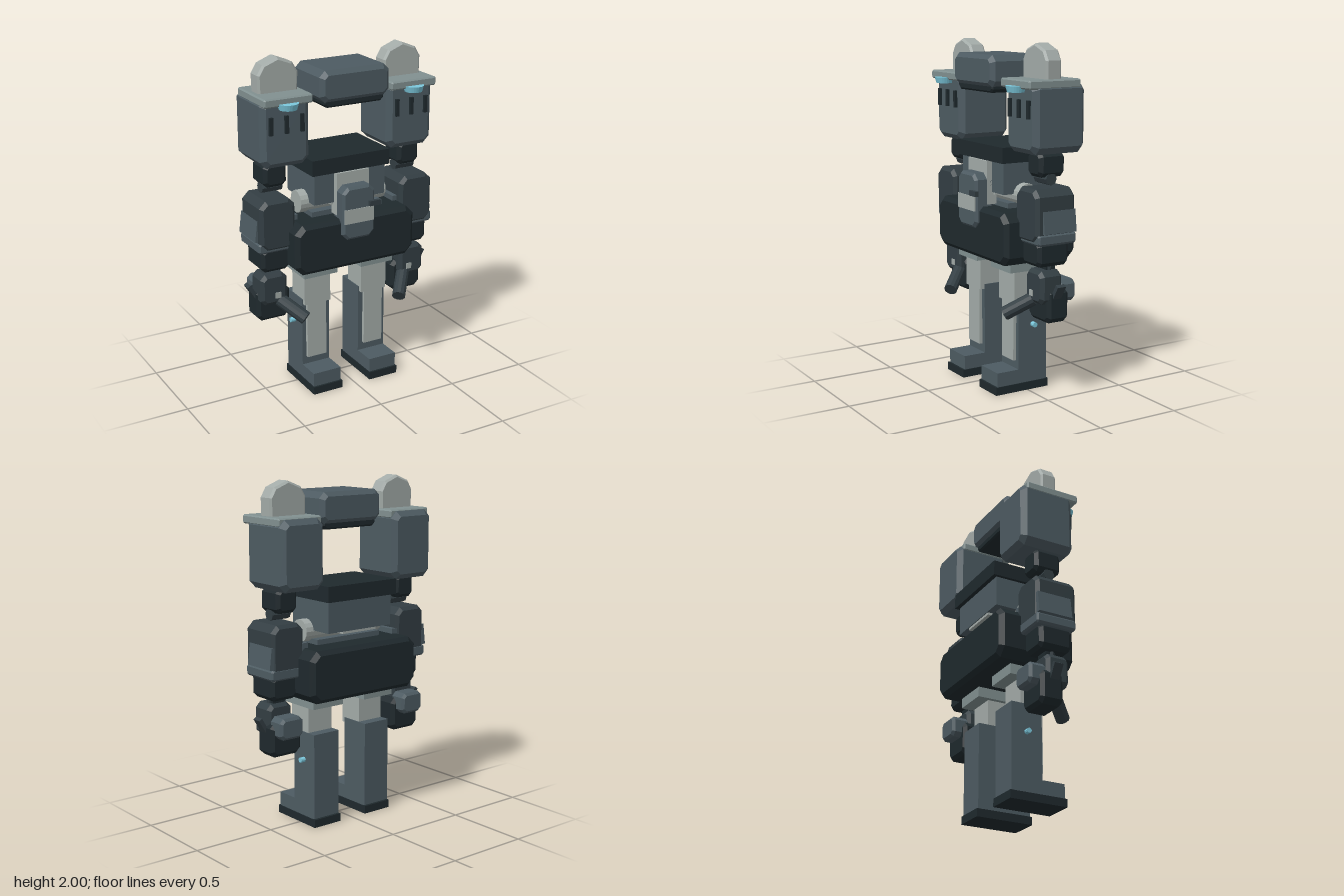
import * as THREE from 'three';

const paint = (color) => new THREE.MeshStandardMaterial({ color, flatShading: true });

export function createModel() {
  const model = new THREE.Group();
  const dark = paint(0x1f292d), mid = paint(0x333e43), grey = paint(0x4d5b62);
  const cap = paint(0x819090), light = paint(0xa3aba8), cyan = paint(0x7cc8dc);

  const add = (name, geometry, material) => {
    const mesh = new THREE.Mesh(geometry, material);
    mesh.name = name;
    model.add(mesh);
    return mesh;
  };

  // Plain box from its limits on each axis
  const box = (name, mat, [x0, x1], [y0, y1], [z0, z1]) => {
    const m = add(name, new THREE.BoxGeometry(Math.abs(x1 - x0), y1 - y0, z1 - z0), mat);
    m.position.set((x0 + x1) / 2, (y0 + y1) / 2, (z0 + z1) / 2);
    return m;
  };

  // Outline in xy extruded along z, with bevelled front and back
  const slab = (name, mat, points, z0, z1, b) => {
    const g = new THREE.ExtrudeGeometry(new THREE.Shape(points), {
      depth: z1 - z0 - 2 * b, bevelThickness: b, bevelSize: b, bevelOffset: -b, bevelSegments: 1,
    });
    const m = add(name, g, mat);
    m.position.z = z0 + b;
    return m;
  };

  // Box with cut corners (c) and bevelled ends (b)
  const cutBox = (name, mat, [x0, x1], [y0, y1], [z0, z1], c = 0.035, b = 0.02) => {
    const w = Math.abs(x1 - x0) / 2, h = (y1 - y0) / 2;
    const pts = [[w - c, -h], [w, c - h], [w, h - c], [w - c, h], [c - w, h], [-w, h - c], [-w, c - h], [c - w, -h]]
      .map(([x, y]) => new THREE.Vector2(x, y));
    const m = slab(name, mat, pts, z0, z1, b);
    m.position.x = (x0 + x1) / 2;
    m.position.y = (y0 + y1) / 2;
    return m;
  };

  // Cylinder between two points
  const rod = (name, mat, a, b, r, sides = 12, rEnd = r) => {
    const p = new THREE.Vector3(...a), q = new THREE.Vector3(...b), d = q.clone().sub(p);
    const m = add(name, new THREE.CylinderGeometry(rEnd, r, d.length(), sides), mat);
    m.position.copy(p).add(q).multiplyScalar(0.5);
    m.quaternion.setFromUnitVectors(new THREE.Vector3(0, 1, 0), d.normalize());
    return m;
  };

  // Head
  cutBox('head', grey, [-0.22, 0.22], [1.75, 1.93], [-0.13, 0.2], 0.035, 0.025);
  cutBox('headUnderside', dark, [-0.19, 0.19], [1.72, 1.79], [-0.11, 0.18], 0.02, 0.01);

  // Torso
  box('chestTop', dark, [-0.25, 0.25], [1.33, 1.42], [-0.225, 0.15]);
  box('torso', grey, [-0.23, 0.23], [1.15, 1.33], [-0.2, 0.13]);
  box('chestPanel', light, [-0.105, 0.105], [1.08, 1.33], [0.1, 0.165]);
  box('torsoUnderside', light, [-0.12, 0.12], [1.135, 1.155], [-0.195, 0.12]);
  rod('waistAxle', light, [-0.28, 1.145, 0], [0.28, 1.145, 0], 0.066, 16);
  box('waist', grey, [-0.23, 0.23], [1.04, 1.1], [-0.1, 0.1]);

  // Pelvis and belt pack
  cutBox('pelvis', dark, [-0.39, 0.39], [0.77, 1.07], [-0.257, 0.215], 0.05, 0.025);
  cutBox('beltPack', grey, [-0.105, 0.105], [0.945, 1.26], [0.12, 0.238], 0.035, 0.015);
  box('beltPackBand', light, [-0.095, 0.095], [1.045, 1.13], [0.14, 0.242]);
  box('beltPackLatch', mid, [0.06, 0.13], [1.135, 1.165], [0.235, 0.257]);

  for (const s of [-1, 1]) {
    const X = (a, b) => [s * a, s * b];

    // Shoulder pod with cap, dome, lamp and vents
    cutBox('shoulderPod', grey, X(0.25, 0.55), [1.405, 1.8], [-0.205, 0.13], 0.04, 0.03);
    cutBox('podCap', cap, X(0.25, 0.547), [1.76, 1.81], [-0.17, 0.165], 0.008, 0.008);
    const dome = [[-0.12, 1.79], [0.12, 1.79], [0.123, 1.91], [0.09, 1.965], [0, 2], [-0.09, 1.965], [-0.123, 1.91]]
      .map(([x, y]) => new THREE.Vector2(x, y));
    slab('podDome', light, dome, -0.062, 0.038, 0.012).position.x = s * 0.397;
    rod('podLamp', cyan, [s * 0.4, 1.74, 0.155], [s * 0.4, 1.775, 0.155], 0.05, 24, 0.06);
    for (const x of [0.305, 0.4, 0.495])
      box('podVent', dark, X(x - 0.011, x + 0.011), [1.6, 1.7], [0.12, 0.145]);

    // Link between pod and arm
    cutBox('armLink', dark, X(0.365, 0.507), [1.275, 1.415], [-0.1, 0.065], 0.025, 0.02);
    rod('armPin', mid, [s * 0.375, 1.265, -0.01], [s * 0.5, 1.265, -0.01], 0.035, 8);

    // Arm
    cutBox('upperArm', mid, X(0.345, 0.565), [0.92, 1.22], [-0.13, 0.125], 0.04, 0.02);
    const plate = box('armSidePlate', grey, X(0.545, 0.575), [0.975, 1.1], [-0.125, 0.085]);
    plate.rotation.z = s * 0.12;
    box('armInnerPlate', grey, X(0.315, 0.36), [0.975, 1.1], [-0.12, 0.085]);
    cutBox('elbowBand', grey, X(0.345, 0.573), [0.91, 0.975], [-0.132, 0.115], 0.012, 0.01);
    cutBox('forearm', dark, X(0.37, 0.55), [0.785, 0.93], [-0.1, 0.1], 0.025, 0.02);
    for (let i = 0; i < 4; i++) {
      const x = s * (0.4 + i * 0.033);
      rod('wristRod', mid, [x, 0.72, 0], [x, 0.8, 0], 0.012, 8);
    }
    box('wrist', dark, X(0.42, 0.5), [0.7, 0.8], [-0.04, 0.02]);

    // Hand
    cutBox('palm', mid, X(0.38, 0.548), [0.57, 0.76], [-0.06, 0.08], 0.03, 0.02);
    box('palmStud', light, X(0.425, 0.46), [0.61, 0.645], [0.06, 0.085]);
    cutBox('fist', dark, X(0.345, 0.555), [0.46, 0.66], [-0.1, 0.04], 0.03, 0.02);
    cutBox('handBackPlate', grey, X(0.375, 0.535), [0.57, 0.695], [-0.16, -0.05], 0.025, 0.015);
    rod('thumb', mid, [s * 0.42, 0.585, 0.05], [s * 0.315, 0.49, 0.175], 0.04, 12);
    const fin = box('handFin', mid, X(0.557, 0.58), [0.6, 0.69], [-0.045, 0.01]);
    fin.rotation.z = -s * 0.55;

    // Leg
    box('hip', cap, X(0.08, 0.295), [0.71, 0.79], [-0.145, 0.125]);
    box('thigh', light, X(0.105, 0.275), [0.525, 0.72], [-0.07, 0.085]);
    box('shin', grey, X(0.1, 0.28), [0.05, 0.555], [-0.13, 0.06]);
    box('shinPanel', light, X(0.13, 0.255), [0.18, 0.54], [0.05, 0.08]);
    rod('shinLamp', cyan, [s * 0.27, 0.39, -0.035], [s * 0.31, 0.39, -0.035], 0.015, 10);
    box('foot', grey, X(0.1, 0.28), [0.04, 0.13], [-0.12, 0.2]);
    box('sole', dark, X(0.095, 0.285), [0, 0.047], [-0.14, 0.212]);
  }
  return model;
}
